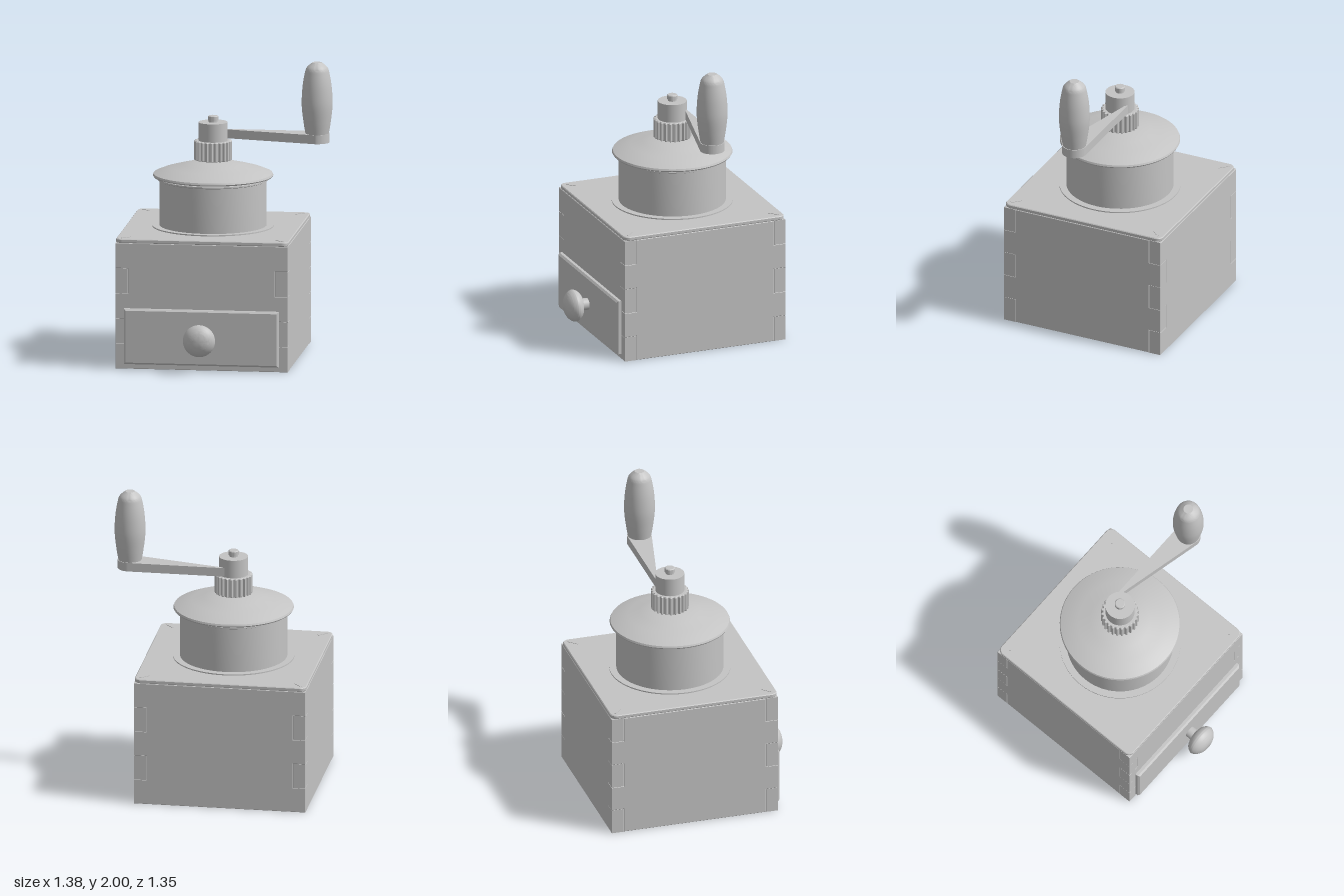
import * as THREE from 'three';
import { toCreasedNormals } from 'three/addons/utils/BufferGeometryUtils.js';

const CX = -0.115, CZ = -0.095; // mill axis
const W = 1.16, H = 0.85, T = 0.085; // box width, height, wall thickness

export function createModel() {
  const model = new THREE.Group();
  const material = new THREE.MeshStandardMaterial({ color: 0xc4c4c4 });
  material.name = 'plain grey';

  const add = (name, geometry, x = 0, y = 0, z = 0) => {
    const mesh = new THREE.Mesh(geometry, material);
    mesh.name = name;
    mesh.position.set(x, y, z);
    model.add(mesh);
    return mesh;
  };
  // Turned part from [radius, height] pairs, listed bottom to top
  const turned = (points, segments = 64) => toCreasedNormals(
    new THREE.LatheGeometry(points.map(([r, y]) => new THREE.Vector2(r, y)), segments), 0.5);
  // Smooth turned part: the pairs are joined by a curve
  const turnedCurve = (points) => {
    const curve = new THREE.SplineCurve(points.map(([r, y]) => new THREE.Vector2(r, y)));
    const profile = curve.getPoints(36).map((p) => [p.x, p.y]);
    return turned([[0, points[0][1]], ...profile, [0, points.at(-1)[1]]], 48);
  };
  const extrude = (shape, depth, bevel) => new THREE.ExtrudeGeometry(shape, {
    depth: depth - 2 * bevel, bevelEnabled: bevel > 0, bevelThickness: bevel,
    bevelSize: bevel, bevelOffset: -bevel, bevelSegments: 1, curveSegments: 24,
  }).translate(0, 0, bevel);

  // Box walls with interlocking finger joints
  const wallShape = (phase) => {
    const right = [], step = H / 5;
    for (let i = 0; i < 5; i++) {
      const x = W / 2 - (i % 2 === phase ? 0 : T);
      right.push([x, i * step], [x, (i + 1) * step]);
    }
    const left = right.map(([x, y]) => [-x, y]).reverse();
    return new THREE.Shape([...right, ...left].map(([x, y]) => new THREE.Vector2(x, y)));
  };
  ['frontWall', 'rightWall', 'backWall', 'leftWall'].forEach((name, i) => {
    const geometry = extrude(wallShape(i % 2), T, 0.003).translate(0, 0, W / 2 - T);
    add(name, geometry, CX, 0, CZ).rotation.y = i * Math.PI / 2;
  });
  add('boxCore', new THREE.BoxGeometry(W - 0.012, H - 0.004, W - 0.012), CX, H / 2, CZ);

  // Top plate with rounded corners
  const plate = new THREE.Shape(), h = W / 2, r = 0.045;
  plate.moveTo(-h + r, -h);
  plate.absarc(h - r, -h + r, r, -Math.PI / 2, 0);
  plate.absarc(h - r, h - r, r, 0, Math.PI / 2);
  plate.absarc(-h + r, h - r, r, Math.PI / 2, Math.PI);
  plate.absarc(-h + r, -h + r, r, Math.PI, Math.PI * 1.5);
  add('topPlate', extrude(plate, 0.027, 0.005).rotateX(-Math.PI / 2), CX, H, CZ);

  // Small diagonal pins on the plate corners
  for (const sx of [-1, 1]) for (const sz of [-1, 1]) {
    const pin = add('cornerPin', new THREE.BoxGeometry(0.075, 0.006, 0.012),
      CX + sx * 0.518, 0.877, CZ + sz * 0.518);
    pin.rotation.y = -sx * sz * Math.PI / 4;
  }

  // Drawer front with bevelled edge, and its knob
  const drawer = new THREE.Shape([[-0.52, 0.035], [0.52, 0.035], [0.52, 0.41], [-0.52, 0.41]]
    .map(([x, y]) => new THREE.Vector2(x, y)));
  add('drawerFront', extrude(drawer, 0.044, 0.012), CX, 0, 0.473);
  add('drawerKnobNeck', new THREE.CylinderGeometry(0.04, 0.04, 0.08, 32).rotateX(Math.PI / 2),
    CX, 0.222, 0.54);
  add('drawerKnob', turnedCurve([[0.045, 0.56], [0.085, 0.576], [0.108, 0.612], [0.094, 0.645],
    [0.065, 0.668], [0.038, 0.678]]).rotateX(Math.PI / 2).scale(1, -1, 1).rotateZ(0), CX, 0.222, 0)
    .geometry.copy(turnedCurve([[0.045, 0.56], [0.085, 0.576], [0.108, 0.612], [0.094, 0.645],
      [0.065, 0.668], [0.038, 0.678]]).rotateX(Math.PI / 2));

  // Bean hopper with foot flange and rolled lip
  add('hopper', turned([[0, 0.874], [0.405, 0.874], [0.405, 0.885], [0.358, 0.885], [0.358, 1.188],
    [0.37, 1.193], [0.37, 1.203], [0.362, 1.206], [0, 1.206]]), CX, 0, CZ);

  // Domed lid
  add('lid', turned([[0, 1.21], [0.38, 1.21], [0.397, 1.214], [0.402, 1.222], [0.397, 1.234],
    [0.34, 1.257], [0.28, 1.274], [0.2, 1.294], [0.127, 1.313], [0, 1.313]]), CX, 0, CZ);

  // Drive shaft
  add('shaft', new THREE.CylinderGeometry(0.045, 0.045, 0.16, 32), CX, 1.27, CZ);

  // Knurled adjusting nut
  const nut = new THREE.Shape(), teeth = 24;
  for (let i = 0; i < teeth * 4; i++) {
    const a = (i / (teeth * 4)) * Math.PI * 2, radius = i % 4 < 2 ? 0.127 : 0.115;
    nut[i ? 'lineTo' : 'moveTo'](Math.cos(a) * radius, Math.sin(a) * radius);
  }
  add('adjustingNut', extrude(nut, 0.13, 0.004).rotateX(-Math.PI / 2), CX, 1.326, CZ);

  // Crank hub and its end pin
  add('crankHub', new THREE.CylinderGeometry(0.097, 0.097, 0.125, 48), CX, 1.5175, CZ);
  add('hubPin', turned([[0.029, 1.575], [0.029, 1.592], [0.035, 1.592], [0.035, 1.618],
    [0.03, 1.623], [0, 1.623]], 32), CX, 0, CZ);

  // Crank arm with rounded outer end
  const arm = new THREE.Shape(), reach = 0.7, half = 0.083;
  arm.moveTo(0, -half);
  arm.absarc(reach, 0, half, -Math.PI / 2, Math.PI / 2);
  arm.lineTo(0, half);
  add('crankArm', extrude(arm, 0.06, 0).rotateX(-Math.PI / 2), CX, 1.46, CZ);

  // Turned grip
  add('grip', turnedCurve([[0.078, 1.519], [0.09, 1.59], [0.101, 1.68], [0.103, 1.75],
    [0.097, 1.84], [0.084, 1.92], [0.07, 1.965], [0.032, 2]]), CX + reach, 0, CZ);

  return model;
}
